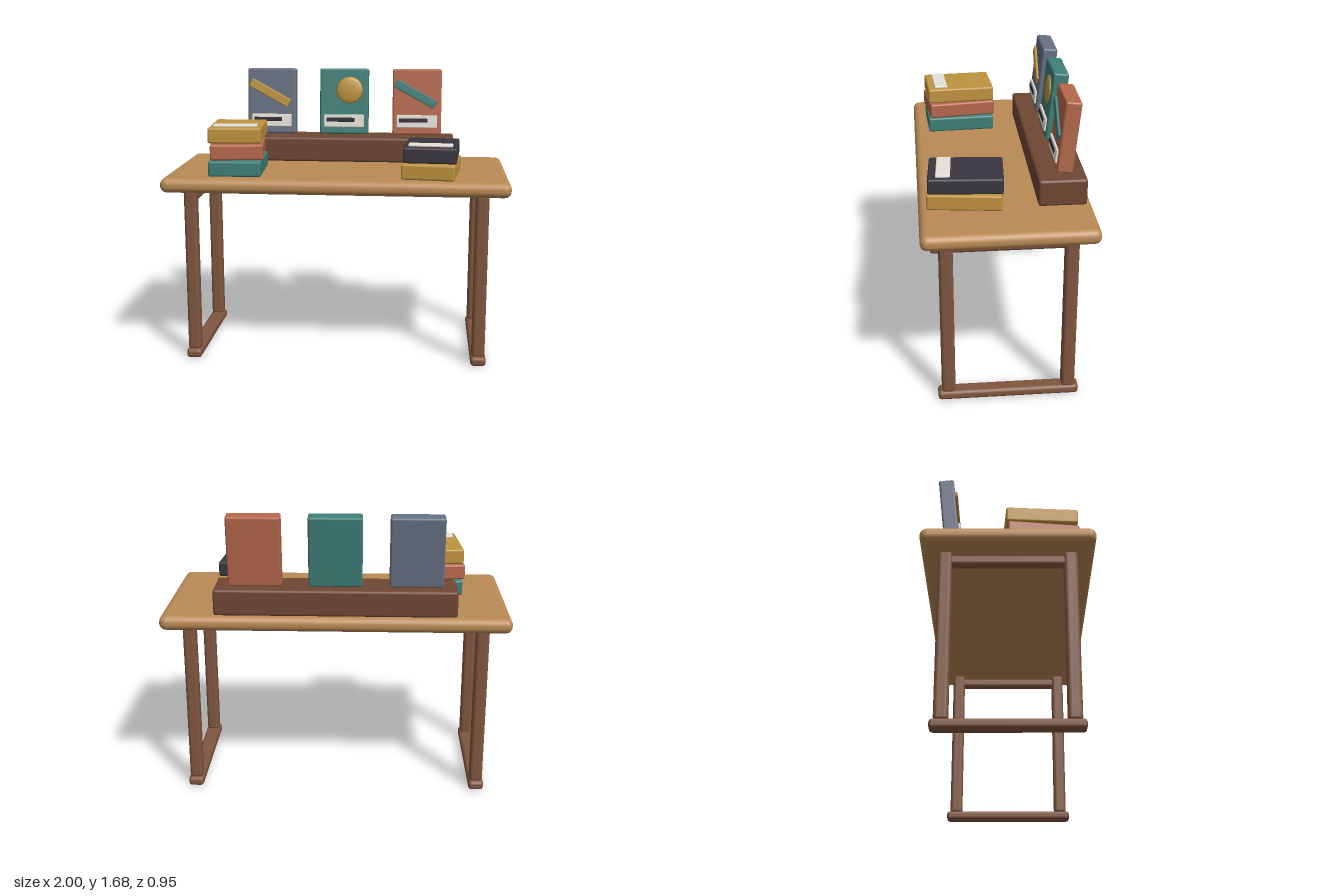
import * as THREE from 'three';
import { RoundedBoxGeometry } from 'three/addons/geometries/RoundedBoxGeometry.js';

const mat = (color) => new THREE.MeshStandardMaterial({ color });
const M = {
  top: mat(0xba8a55), frame: mat(0x80563f), shelf: mat(0x6f4733),
  slate: mat(0x667084), teal: mat(0x3f7f78), rust: mat(0xb5674b),
  gold: mat(0xbf933e), dark: mat(0x3a3640), label: mat(0xe6e2d8), ink: mat(0x2a2730),
};

// Rounded box part, placed by its centre
function box(parent, name, material, size, pos, radius = 0.01, segments = 2) {
  const mesh = new THREE.Mesh(new RoundedBoxGeometry(...size, segments, radius), material);
  mesh.name = name;
  mesh.position.set(...pos);
  parent.add(mesh);
  return mesh;
}

const W = 0.305, H = 0.41, T = 0.09; // book width, height, thickness
const FRONT = T / 2;

// Book standing upright, cover facing +z
function book(name, material, withLabel) {
  const g = new THREE.Group();
  g.name = name;
  box(g, 'cover', material, [W, H, T], [0, 0, 0], 0.012);
  if (withLabel) box(g, 'label', M.label, [0.253, 0.08, 0.014], [0, -0.122, FRONT + 0.005], 0.006, 1);
  return g;
}

export function createModel() {
  const model = new THREE.Group();
  model.name = 'bookDisplayTable';

  // Table top
  box(model, 'tableTop', M.top, [2, 0.087, 0.95], [0, 1.0635, 0], 0.04, 3);

  // Two end frames: foot, two legs and an upper rail
  for (const side of [-1, 1]) {
    const frame = new THREE.Group();
    frame.name = side > 0 ? 'leftEndFrame' : 'rightEndFrame';
    frame.position.x = side * 0.845;
    box(frame, 'foot', M.frame, [0.09, 0.055, 0.8], [0, 0.0275, 0], 0.02);
    for (const z of [-0.34, 0.34])
      box(frame, z > 0 ? 'frontLeg' : 'backLeg', M.frame, [0.077, 0.98, 0.077], [0, 0.535, z], 0.022);
    box(frame, 'upperRail', M.frame, [0.06, 0.06, 0.66], [0, 0.972, 0], 0.022);
    model.add(frame);
  }

  // Riser block at the back
  box(model, 'riser', M.shelf, [1.38, 0.152, 0.268], [0, 1.183, -0.309], 0.015);

  // Three display books leaning back on the riser
  const display = [
    [-0.458, M.slate, M.gold, 'bar'],
    [0, M.teal, M.gold, 'disc'],
    [0.458, M.rust, M.teal, 'bar'],
  ];
  for (const [x, cover, accent, motif] of display) {
    const b = book('displayBook', cover, true);
    box(b, 'labelStripe', M.ink, [0.177, 0.026, 0.008], [-0.022, -0.115, FRONT + 0.012], 0.003, 1);
    if (motif === 'bar') {
      box(b, 'coverBar', accent, [0.28, 0.054, 0.018], [-0.01, 0.05, FRONT + 0.006], 0.006, 1).rotation.z = -0.5;
    } else {
      const disc = new THREE.Mesh(new THREE.SphereGeometry(0.084, 12, 8), accent);
      disc.name = 'coverDisc';
      disc.scale.z = 0.22;
      disc.position.set(0.035, 0.07, FRONT);
      b.add(disc);
    }
    b.position.set(x, 1.468, -0.346);
    b.rotation.x = -0.1;
    model.add(b);
  }

  // Stacks of lying books, listed from the bottom: [cover, turn]
  const stacks = [
    ['rightStack', -0.587, 0.185, [[M.teal, 0.05], [M.rust, 0.125], [M.gold, 0.065]]],
    ['leftStack', 0.553, 0.21, [[M.gold, -0.12], [M.dark, -0.065]]],
  ];
  for (const [name, x, z, books] of stacks) {
    const stack = new THREE.Group();
    stack.name = name;
    stack.position.set(x, 1.107, z);
    books.forEach(([cover, turn], i) => {
      const b = book('stackedBook', cover, i === books.length - 1);
      b.rotation.x = -Math.PI / 2;
      const turned = new THREE.Group();
      turned.name = 'stackedBookPlace';
      turned.position.y = T / 2 + i * 0.0965;
      turned.rotation.y = turn;
      turned.add(b);
      stack.add(turned);
    });
    model.add(stack);
  }
  return model;
}
